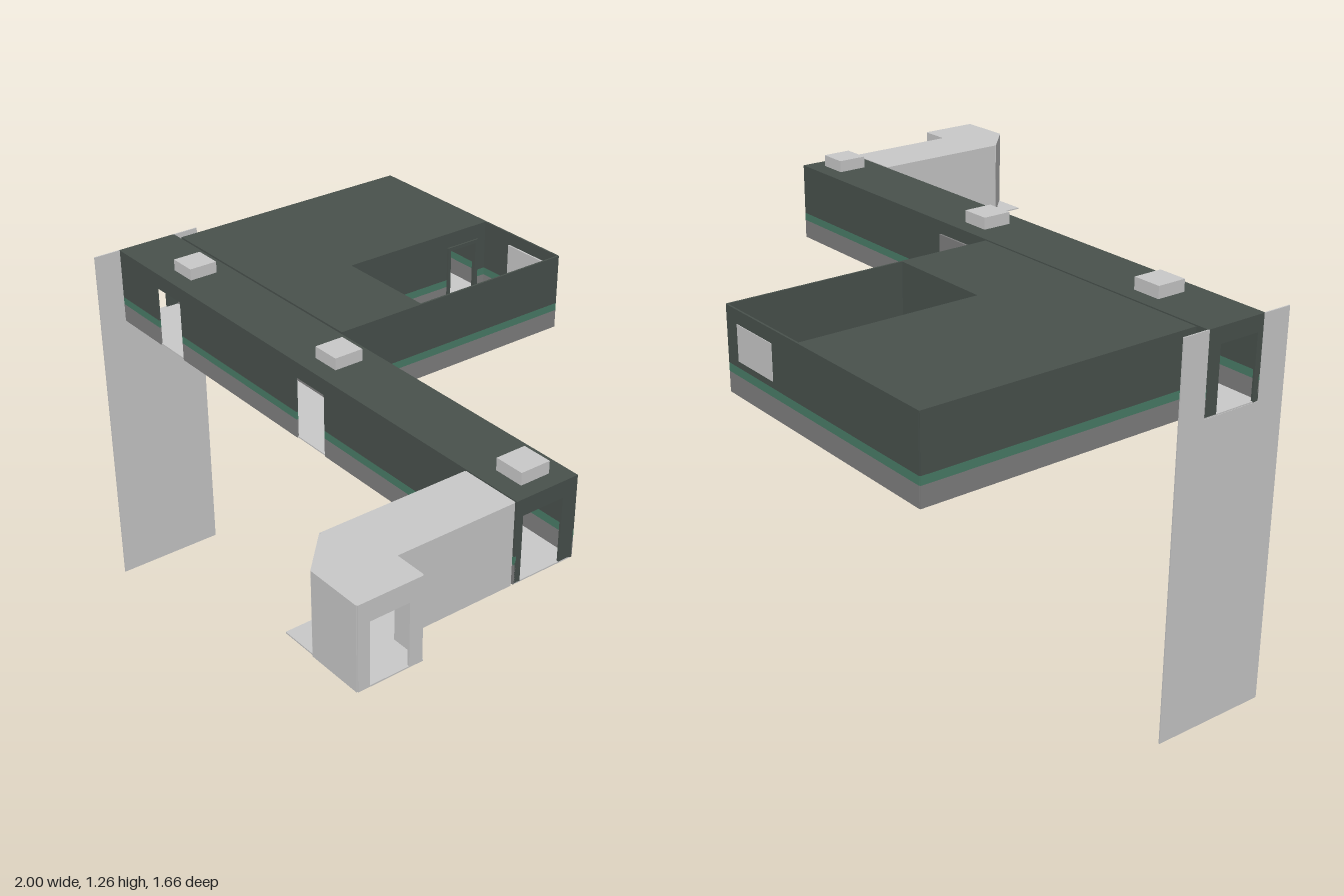
import * as THREE from 'three';

const mat = (name, color) => Object.assign(new THREE.MeshStandardMaterial({ color }), { name });

export function createModel() {
  const root = new THREE.Group();
  root.name = 'building';
  const light = mat('light grey', 0xcacaca);
  const grey = mat('base grey', 0x808080);
  const green = mat('green stripe', 0x4a7d68);
  const dark = mat('dark green grey', 0x49524d);

  const FLOOR = 0.97, TOP = 1.22, DOOR = 1.17, T = 0.006;
  const striped = [[FLOOR, 1.03, grey], [1.03, 1.055, green], [1.055, TOP, dark]];
  const plainLight = [[FLOOR, TOP, light]];
  const plainDark = [[FLOOR, TOP, dark]];

  // Box from its extents
  function box(name, material, x0, x1, y0, y1, z0, z1, parent = root) {
    const m = new THREE.Mesh(new THREE.BoxGeometry(x1 - x0, y1 - y0, z1 - z0), material);
    m.position.set((x0 + x1) / 2, (y0 + y1) / 2, (z0 + z1) / 2);
    m.name = name;
    parent.add(m);
    return m;
  }

  // Thin wall from (ax, az) to (bx, bz) in colour bands; openings are [start, end, bottom, top] along it
  function wall(name, ax, az, bx, bz, bands, openings = []) {
    const g = new THREE.Group();
    g.name = name;
    g.position.set(ax, 0, az);
    g.rotation.y = -Math.atan2(bz - az, bx - ax);
    const piece = (s, e, lo, hi) => bands.forEach(([y0, y1, m]) => {
      const a = Math.max(y0, lo), b = Math.min(y1, hi);
      if (b - a > 1e-4 && e - s > 1e-4) box('wallBand', m, s, e, a, b, -T / 2, T / 2, g);
    });
    let at = 0;
    for (const [s, e, lo, hi] of openings) {
      piece(at, s, FLOOR, TOP);
      piece(s, e, FLOOR, lo);
      piece(s, e, hi, TOP);
      at = e;
    }
    piece(at, Math.hypot(bx - ax, bz - az), FLOOR, TOP);
    root.add(g);
  }

  // Door frame of two posts and a lintel; w is the post width
  function frame(name, material, x0, x1, z0, z1, alongX, w) {
    const g = new THREE.Group();
    g.name = name;
    if (alongX) {
      box('post', material, x0, x0 + w, FLOOR, DOOR, z0, z1, g);
      box('post', material, x1 - w, x1, FLOOR, DOOR, z0, z1, g);
    } else {
      box('post', material, x0, x1, FLOOR, DOOR, z0, z0 + w, g);
      box('post', material, x0, x1, FLOOR, DOOR, z1 - w, z1, g);
    }
    box('lintel', material, x0, x1, DOOR - w, DOOR, z0, z1, g);
    root.add(g);
  }

  // Corridor
  box('corridorFloor', light, -1, 0.9, FLOOR, FLOOR + 0.004, 0.05, 0.25);
  box('corridorRoof', dark, -1, 0.9, TOP - 0.006, TOP, 0.047, 0.253);
  wall('corridorFront', -1, 0.25, 0.9, 0.25, striped,
    [[0.22, 0.355, FLOOR, DOOR], [0.965, 1.1, FLOOR, DOOR], [1.74, 1.86, FLOOR, DOOR]]);
  wall('corridorBack', -1, 0.05, 0.9, 0.05, striped, [[0.22, 0.355, FLOOR, DOOR]]);
  for (const x of [-0.997, 0.897])
    wall('corridorEnd', x, 0.05, x, 0.25, plainDark, [[0.045, 0.18, FLOOR, DOOR]]);
  box('backDoor', grey, -0.06, 0.13, FLOOR, 1.18, 0.041, 0.056);
  frame('roomDoorFrame', light, -0.78, -0.645, 0.034, 0.054, true, 0.01);
  frame('passageDoorFrame', dark, 0.74, 0.86, 0.247, 0.263, true, 0.008);

  // Roof vents
  for (const x of [-0.713, 0.032, 0.803])
    box('roofVent', light, x - 0.047, x + 0.047, TOP, 1.257, 0.1, 0.195);

  // Room with an open courtyard corner
  box('roomFloor', light, -0.96, -0.1, FLOOR, FLOOR + 0.004, -0.828, 0.04);
  box('roomRoof', dark, -0.963, -0.45, TOP - 0.006, TOP, -0.83, 0.04);
  box('roomRoofArm', dark, -0.45, -0.097, TOP - 0.006, TOP, -0.26, 0.04);
  wall('roomFront', -0.96, 0.037, -0.1, 0.037, striped, [[0.18, 0.315, FLOOR, DOOR]]);
  wall('roomBack', -0.96, -0.827, -0.1, -0.827, striped);
  wall('roomRight', -0.96, -0.828, -0.96, 0.04, striped);
  wall('roomLeft', -0.1, -0.828, -0.1, 0.04, striped);
  wall('courtyardSide', -0.45, -0.828, -0.45, -0.26, striped, [[0.038, 0.168, FLOOR, DOOR]]);
  wall('courtyardFront', -0.45, -0.26, -0.1, -0.26, striped);
  frame('courtyardDoorFrame', dark, -0.456, -0.441, -0.79, -0.66, false, 0.012);
  box('courtyardWindow', light, -0.325, -0.155, 1.075, 1.18, -0.832, -0.818);

  // Bent side passage with a cut corner
  box('passageFloor', light, 0.71, 0.9, FLOOR, FLOOR + 0.004, 0.26, 0.825);
  box('passageFloorArm', light, 0.9, 1, FLOOR, FLOOR + 0.004, 0.63, 0.825);
  const outline = [[0.713, 0.26], [0.897, 0.26], [0.897, 0.633], [0.997, 0.633],
    [0.997, 0.825], [0.825, 0.825], [0.713, 0.717]];
  const gaps = { 0: [[0.03, 0.145, FLOOR, DOOR]], 3: [[0.04, 0.158, FLOOR, 1.16]] };
  outline.forEach(([x, z], i) => {
    const [nx, nz] = outline[(i + 1) % outline.length];
    wall('passageWall', x, z, nx, nz, plainLight, gaps[i]);
  });
  const roofShape = new THREE.Shape(outline.map(([x, z]) => new THREE.Vector2(x, -z)));
  const roof = new THREE.Mesh(
    new THREE.ExtrudeGeometry(roofShape, { depth: 0.006, bevelEnabled: false }), light);
  roof.rotation.x = -Math.PI / 2;
  roof.position.y = TOP - 0.006;
  roof.name = 'passageRoof';
  root.add(roof);

  // Tall end panel, notched around the corridor end
  box('endPanel', light, -1.001, -0.997, 0, FLOOR, -0.04, 0.345);
  box('endPanelSide', light, -1.001, -0.997, FLOOR, TOP, -0.04, 0.05);
  box('endPanelSide', light, -1.001, -0.997, FLOOR, TOP, 0.25, 0.345);

  return root;
}
